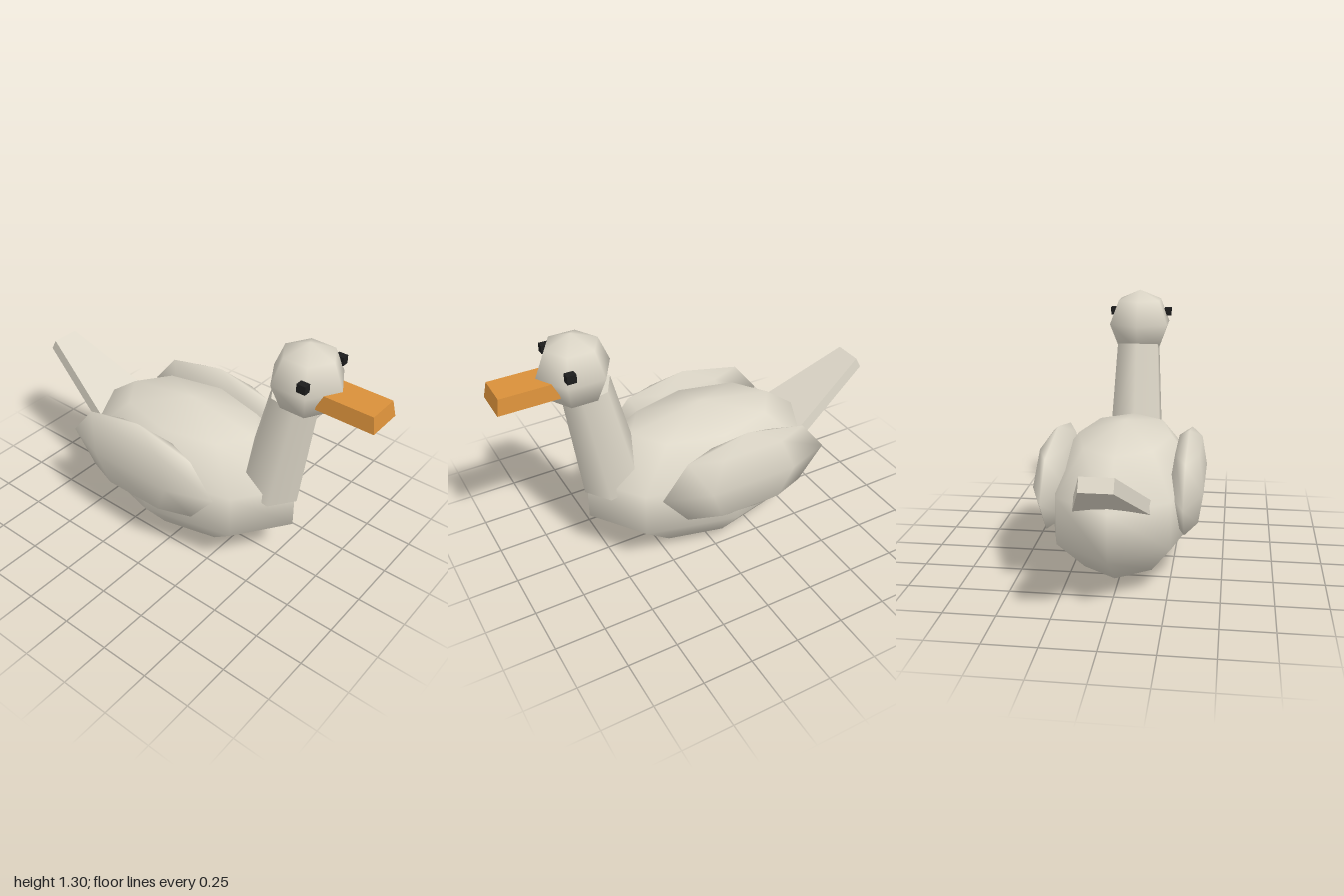
import * as THREE from 'three';

const mat = (name, color) => {
  const m = new THREE.MeshStandardMaterial({ color });
  m.name = name;
  return m;
};

// Low-poly ellipsoid with smooth normals and a corner facing the front
function ellipsoid(rx, ry, rz, sides, rings) {
  return new THREE.SphereGeometry(1, sides, rings).rotateY(Math.PI / 2).scale(rx, ry, rz);
}

// Box whose top is scaled in x and z, with flat faces
function taperedBox(w, h, d, topX, topZ) {
  const g = new THREE.BoxGeometry(w, h, d);
  const p = g.attributes.position;
  for (let i = 0; i < p.count; i++) {
    if (p.getY(i) > 0) p.setXYZ(i, p.getX(i) * topX, p.getY(i), p.getZ(i) * topZ);
  }
  g.computeVertexNormals();
  return g;
}

export function createModel() {
  const model = new THREE.Group();
  model.name = 'bird';
  const feathers = mat('cream feathers', 0xddd7c8);
  const orange = mat('orange beak', 0xd9903a);
  const black = mat('black eyes', 0x1c1c1c);

  const add = (name, geometry, material, x, y, z, tilt = 0) => {
    const mesh = new THREE.Mesh(geometry, material);
    mesh.name = name;
    mesh.position.set(x, y, z);
    mesh.rotation.x = tilt;
    model.add(mesh);
  };

  // Body, forward-leaning neck and head
  add('body', ellipsoid(0.395, 0.371, 0.673, 8, 5), feathers, 0, 0.373, -0.05);
  add('neck', new THREE.CylinderGeometry(0.125, 0.16, 0.58, 6), feathers, 0, 0.729, 0.501, 0.19);
  add('head', ellipsoid(0.18, 0.18, 0.18, 6, 4), feathers, 0, 1.125, 0.608);

  // Beak narrows towards its top
  add('beak', taperedBox(0.18, 0.077, 0.29, 0.89, 0.9), orange, 0, 1.088, 0.855);

  // Tail slab rises backwards and narrows to its tip
  add('tail', taperedBox(0.355, 0.5, 0.066, 0.41, 1), feathers, 0, 0.603, -0.766, -Math.PI / 3);

  // Wings and eyes on both sides
  for (const [side, s] of [['left', 1], ['right', -1]]) {
    add(side + 'Wing', ellipsoid(0.094, 0.24, 0.463, 6, 4), feathers, s * 0.323, 0.48, -0.123);
    add(side + 'Eye', new THREE.BoxGeometry(0.036, 0.041, 0.045), black, s * 0.15, 1.179, 0.68);
  }
  return model;
}
